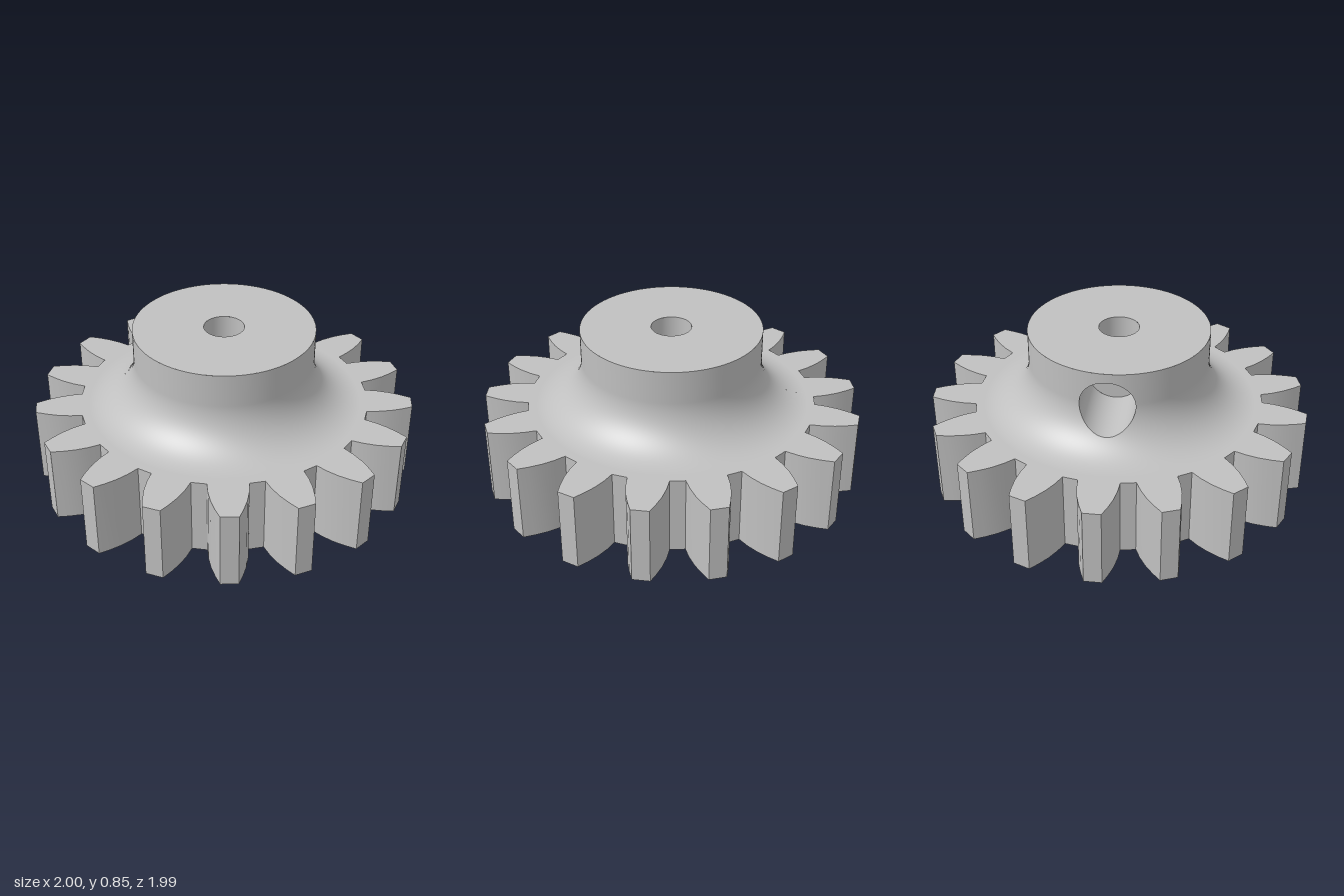
import * as THREE from 'three';
import { toCreasedNormals } from 'three/addons/utils/BufferGeometryUtils.js';

const TEETH = 17, GEAR_H = 0.42, TOP = 0.845, BORE = 0.105;
const HUB_R = 0.473, FILLET = 0.25, FILLET_Y = GEAR_H + FILLET;
const HOLE_R = 0.14, HOLE_Y = 0.655, HOLE_END = -0.16;

// Grid surface; fn(u, v) returns [position, normal], front side along du x dv
function grid(fn, nu, nv) {
  const pos = [], nor = [], idx = [];
  for (let i = 0; i <= nu; i++) {
    for (let j = 0; j <= nv; j++) {
      const [p, n] = fn(i / nu, j / nv);
      pos.push(...p);
      nor.push(...n);
      if (i < nu && j < nv) {
        const a = i * (nv + 1) + j, b = a + nv + 1;
        idx.push(a, b, b + 1, a, b + 1, a + 1);
      }
    }
  }
  const g = new THREE.BufferGeometry();
  g.setAttribute('position', new THREE.Float32BufferAttribute(pos, 3));
  g.setAttribute('normal', new THREE.Float32BufferAttribute(nor, 3));
  g.setIndex(idx);
  return g;
}

// Hub skin: t is the angle from the back, s the length along the profile
const S0 = FILLET_Y - FILLET * Math.PI / 2;
function hubSkin(t, s) {
  const a = Math.max(0, (FILLET_Y - s) / FILLET);
  const r = HUB_R + FILLET * (1 - Math.cos(a));
  const y = a > 0 ? FILLET_Y - FILLET * Math.sin(a) : s;
  const sx = Math.sin(t), sz = -Math.cos(t);
  return [[r * sx, y, r * sz], [Math.cos(a) * sx, Math.sin(a), Math.cos(a) * sz]];
}

// Rim of the screw hole in hub coordinates (t, s)
function holeRim(phi) {
  const x = HOLE_R * Math.cos(phi), y = HOLE_Y + HOLE_R * Math.sin(phi);
  const a = y < FILLET_Y ? Math.asin((FILLET_Y - y) / FILLET) : 0;
  const r = HUB_R + FILLET * (1 - Math.cos(a));
  return [Math.asin(x / r), a > 0 ? FILLET_Y - FILLET * a : y];
}

// Toothed outline
function gearShape() {
  const flank = [[0.102, 0.757], [0.098, 0.82], [0.086, 0.885], [0.067, 0.945], [0.045, 0.999]];
  const half = [...flank.map(([x, y]) => [x, y]), ...flank.map(([x, y]) => [-x, y]).reverse()];
  const pts = [];
  for (let k = 0; k < TEETH; k++) {
    const c = new THREE.Vector2();
    for (const [x, y] of half) {
      pts.push(new THREE.Vector2(x, y).rotateAround(c, k * 2 * Math.PI / TEETH));
    }
  }
  const shape = new THREE.Shape(pts);
  shape.holes.push(new THREE.Path().absarc(0, 0, BORE, 0, Math.PI * 2, true));
  return shape;
}

export function createModel() {
  const steel = new THREE.MeshStandardMaterial({ color: 0xc0c0c0 });
  const group = new THREE.Group();
  group.name = 'spurGear';
  const add = (name, geo) => {
    const m = new THREE.Mesh(geo, steel);
    m.name = name;
    group.add(m);
    return m;
  };

  // Toothed wheel with bore
  const wheel = new THREE.ExtrudeGeometry(gearShape(), { depth: GEAR_H, bevelEnabled: false, curveSegments: 48 });
  wheel.rotateX(-Math.PI / 2);
  add('toothedWheel', toCreasedNormals(wheel, 0.4));

  // Hub skin around the front and sides, then the back panel with the hole
  const T = 0.45, TAU = Math.PI * 2;
  add('hub', grid((u, v) => hubSkin(T + v * (TAU - 2 * T), S0 + u * (TOP - S0)), 48, 96));
  add('hubBackPanel', grid((u, v) => {
    const phi = u * TAU, c = Math.cos(phi), s = Math.sin(phi);
    const m = Math.max(Math.abs(c), Math.abs(s));
    const [t0, s0] = holeRim(phi);
    const t1 = T * c / m, s1 = (S0 + TOP) / 2 + (TOP - S0) / 2 * s / m;
    return hubSkin(t0 + (t1 - t0) * v, s0 + (s1 - s0) * v);
  }, 96, 16));

  // Screw hole wall and floor
  add('screwHoleWall', grid((u, v) => {
    const phi = u * TAU;
    const [x, y, z] = hubSkin(...holeRim(phi))[0];
    return [[x, y, HOLE_END + (z - HOLE_END) * v], [-Math.cos(phi), -Math.sin(phi), 0]];
  }, 96, 1));
  const floor = add('screwHoleFloor', new THREE.CircleGeometry(HOLE_R, 48));
  floor.rotation.y = Math.PI;
  floor.position.set(0, HOLE_Y, HOLE_END);

  // Hub top face and bore wall
  const face = add('hubTop', new THREE.RingGeometry(BORE, HUB_R, 96));
  face.rotation.x = -Math.PI / 2;
  face.position.y = TOP;
  add('hubBore', grid((u, v) => {
    const t = u * TAU, c = Math.cos(t), s = Math.sin(t);
    return [[BORE * c, GEAR_H + (TOP - GEAR_H) * v, BORE * s], [-c, 0, -s]];
  }, 48, 1));

  // Centre the odd tooth count front to back
  group.children.forEach((m) => { m.position.z += 0.004; });
  return group;
}
